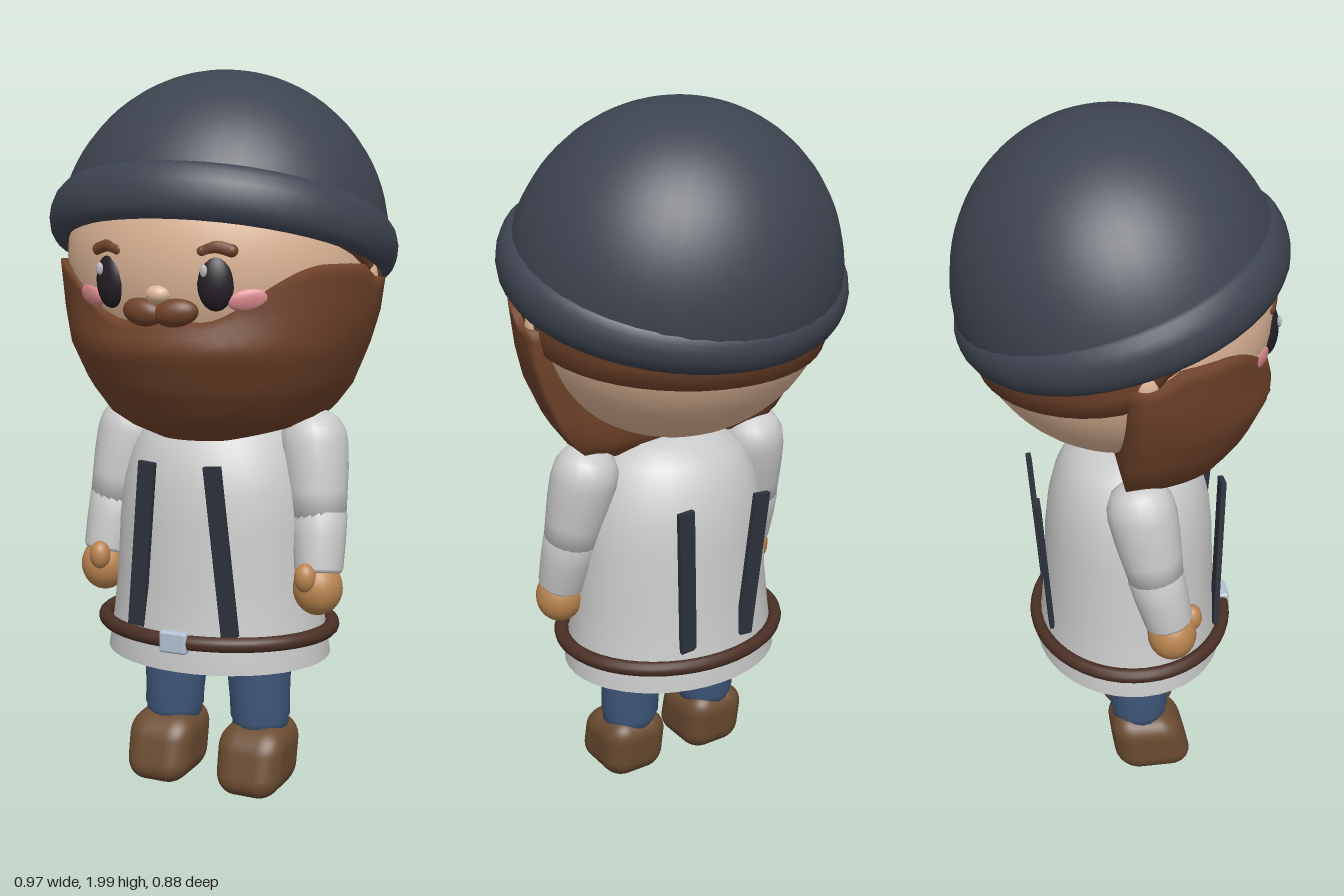
import * as THREE from 'three';
import { mergeVertices } from 'three/addons/utils/BufferGeometryUtils.js';
import { RoundedBoxGeometry } from 'three/addons/geometries/RoundedBoxGeometry.js';

const mat = (color) => new THREE.MeshStandardMaterial({ color, side: THREE.DoubleSide });
const M = {
  grey: mat(0xcccccc), hat: mat(0x3d4350), beard: mat(0x70432a), skin: mat(0xdfb798),
  hand: mat(0xba8550), jeans: mat(0x3f577a), boot: mat(0x6b4c31), belt: mat(0x4b3025),
  strap: mat(0x2d333d), eye: mat(0x241f26), glint: mat(0xb8b8bc), blush: mat(0xdb8a8e), buckle: mat(0xb4c2d2),
};
const V = (x, y, z) => new THREE.Vector3(x, y, z);
const { lerp, smoothstep } = THREE.MathUtils;

function add(parent, name, geo, material, pos = [0, 0, 0], rot = [0, 0, 0], scale = [1, 1, 1]) {
  const m = new THREE.Mesh(geo, material);
  m.name = name;
  m.position.set(...pos);
  m.rotation.set(...rot);
  m.scale.set(...scale);
  parent.add(m);
  return m;
}
const ball = (parent, name, material, pos, scale, rot) =>
  add(parent, name, new THREE.SphereGeometry(1, 24, 16), material, pos, rot, scale);

// Skin over closed rings of n points; point(i, j) runs around, then upwards
function loft(n, rows, point) {
  const pos = [], idx = [];
  for (let j = 0; j < rows; j++) for (let i = 0; i < n; i++) pos.push(...point(i, j));
  for (let j = 0; j < rows - 1; j++) for (let i = 0; i < n; i++) {
    const a = j * n + i, b = j * n + (i + 1) % n;
    idx.push(a, b, a + n, b, b + n, a + n);
  }
  const g = new THREE.BufferGeometry();
  g.setAttribute('position', new THREE.Float32BufferAttribute(pos, 3));
  g.setIndex(idx);
  g.computeVertexNormals();
  return g;
}

// Piecewise linear lookup in rows of [key, ...values]
function sample(table, key) {
  let k = 1;
  while (k < table.length - 1 && table[k][0] < key) k++;
  const a = table[k - 1], b = table[k];
  const t = Math.min(1, Math.max(0, (key - a[0]) / (b[0] - a[0])));
  return a.slice(1).map((v, i) => lerp(v, b[i + 1], t));
}

// Turned limb from a to b, profile of [radius, fraction along]
function limb(parent, name, material, a, b, profile) {
  const len = a.distanceTo(b);
  const geo = new THREE.LatheGeometry(profile.map(([r, t]) => new THREE.Vector2(r, t * len)), 20);
  const m = add(parent, name, geo, material, a.toArray());
  m.quaternion.setFromUnitVectors(V(0, 1, 0), b.clone().sub(a).normalize());
}

function beardGeometry() {
  // height: half width, front z, back z
  const table = [[1.015, 0.13, 0.225, 0.08], [1.04, 0.23, 0.27, 0.01], [1.08, 0.31, 0.312, -0.03], [1.16, 0.37, 0.365, -0.04],
    [1.27, 0.417, 0.414, -0.04], [1.36, 0.445, 0.39, -0.04], [1.49, 0.463, 0.385, -0.04]];
  const front = 48, back = 8, rows = 16;
  return loft(front + back, rows + 2, (i, j) => {
    if (j === 0) return [0, 1.015, 0.16];
    const phi = i <= front ? (i / front - 0.5) * Math.PI : Math.PI / 2;
    const s = Math.abs(Math.sin(phi));
    const top = i > front ? 1.43 : 1.345 + 0.145 * smoothstep(s, 0.25, 0.86) - 0.04 * smoothstep(s, 0.96, 1);
    const t = Math.min(1, (j - 1) / (rows - 1));
    const y = lerp(1.017, top, t);
    const [w, f, b] = sample(table, y);
    const inward = j > rows ? 0.75 : 1;
    if (i > front) return [w * inward * (1 - 2 * (i - front) / back), y, b];
    return [w * inward * Math.sin(phi), y, b + (f - b) * inward * Math.max(0, Math.cos(phi)) ** 0.85];
  });
}

function hairGeometry() {
  const n = 48, rows = 16;
  return loft(n, rows + 1, (i, j) => {
    const a = i / n * Math.PI * 2, c = Math.cos(a);
    const edge = c > 0 ? 1.41 + 0.2 * Math.sqrt(c) : 1.41 - 0.085 * Math.sqrt(-c);
    const th = Math.acos((edge - 1.5) / 0.42) * (1 - Math.max(0, j - 1) / (rows - 1));
    const k = j === 0 ? 0.85 : 1;
    return [0.445 * k * Math.sin(th) * Math.sin(a), 1.5 + 0.42 * Math.cos(th), 0.42 * k * Math.sin(th) * c];
  });
}

function buildHead(g) {
  add(g, 'head', new THREE.SphereGeometry(1, 40, 28), M.skin, [0, 1.5, 0], [0, 0, 0], [0.43, 0.41, 0.41]);
  add(g, 'hair', hairGeometry(), M.beard);
  add(g, 'beard', beardGeometry(), M.beard);
  ball(g, 'nose', M.skin, [0, 1.415, 0.392], [0.035, 0.026, 0.03]);
  for (const s of [1, -1]) {
    ball(g, 'ear', M.skin, [s * 0.425, 1.45, 0.005], [0.024, 0.05, 0.032]);
    ball(g, 'eye', M.eye, [s * 0.148, 1.447, 0.368], [0.048, 0.072, 0.03], [0, s * 0.35, 0]);
    ball(g, 'eyeGlint', M.glint, [s * 0.148 - 0.02, 1.477, 0.396 + s * 0.002], [0.01, 0.016, 0.006]);
    ball(g, 'cheek', M.blush, [s * 0.226, 1.403, 0.331], [0.058, 0.03, 0.014], [0.2, s * 0.58, 0]);
    ball(g, 'moustache', M.beard, [s * 0.046, 1.37, 0.388], [0.06, 0.037, 0.034], [0, s * 0.15, s * 0.12]);
    const brow = new THREE.CatmullRomCurve3([V(0.117, 1.525, 0.379), V(0.15, 1.535, 0.372), V(0.187, 1.526, 0.359)]);
    for (const p of brow.points) p.x *= s;
    add(g, 'eyebrow', new THREE.TubeGeometry(brow, 12, 0.018, 10), M.beard);
    for (const p of [brow.points[0], brow.points[2]]) ball(g, 'eyebrowEnd', M.beard, p.toArray(), [0.018, 0.018, 0.018]);
  }
}

function buildHat(g) {
  const hat = new THREE.Group();
  hat.name = 'knitHat';
  hat.position.set(0, 1.535, 0);
  hat.rotation.x = -0.31;
  g.add(hat);
  add(hat, 'hatDome', new THREE.SphereGeometry(1, 40, 20, 0, Math.PI * 2, 0, Math.PI / 2), M.hat,
    [0, 0, 0], [0, 0, 0], [0.458, 0.467, 0.438]);
  // Rolled brim, taller at the front
  const n = 48, m = 14;
  add(hat, 'hatBrim', loft(n, m + 1, (i, j) => {
    const a = i / n * Math.PI * 2, b = j / m * Math.PI * 2 - Math.PI / 2;
    const r = 0.04 * Math.cos(b), h = 0.068 + 0.008 * Math.cos(a);
    return [(0.445 + r) * Math.sin(a), 0.015 + h * Math.sin(b), 0.005 + (0.415 + r) * Math.cos(a)];
  }), M.hat);
}

function buildBody(g) {
  const profile = [[0, 0.43], [0.25, 0.43], [0.265, 0.392], [0.272, 0.394], [0.258, 0.5], [0.247, 0.62], [0.24, 0.78], [0.229, 0.88],
    [0.209, 0.96], [0.176, 1.03], [0.12, 1.075], [0, 1.095]];
  add(g, 'coat', new THREE.LatheGeometry(profile.map((p) => new THREE.Vector2(...p)), 40), M.grey,
    [0, 0, 0.028], [0, 0, 0], [1.19, 1, 1]);
  add(g, 'belt', new THREE.TorusGeometry(0.33, 0.021, 12, 48), M.belt, [0, 0.478, 0.032], [Math.PI / 2 - 0.02, 0, 0], [1, 0.845, 1]);
  add(g, 'buckle', new RoundedBoxGeometry(0.08, 0.06, 0.03, 3, 0.008), M.buckle, [0, 0.483, 0.315]);
  for (const s of [1, -1]) {
    strap(g, 'frontBrace', V(s * 0.095, 0.96, 0.279), V(s * 0.14, 0.5, 0.262));
    strap(g, 'backBrace', V(s * 0.125, 0.95, -0.244), V(s * 0.095, 0.51, -0.212));
  }
}

// Thin flat brace between two points
function strap(g, name, a, b) {
  const d = a.clone().sub(b), mid = a.clone().add(b).multiplyScalar(0.5);
  const m = add(g, name, new THREE.BoxGeometry(0.048, d.length(), 0.015), M.strap, mid.toArray());
  m.quaternion.setFromUnitVectors(V(0, 1, 0), d.normalize());
}

function buildLimbs(g) {
  for (const s of [1, -1]) {
    const shoulder = V(s * 0.268, 1.088, 0.003), elbow = V(s * 0.313, 0.79, 0.058), wrist = V(s * 0.325, 0.655, 0.092);
    limb(g, 'upperSleeve', M.grey, shoulder, elbow,
      [[0, 0], [0.045, 0.025], [0.073, 0.09], [0.09, 0.2], [0.094, 0.33], [0.09, 0.55], [0.083, 0.75], [0.074, 1], [0, 1.06]]);
    limb(g, 'lowerSleeve', M.grey, elbow.clone().lerp(wrist, -0.35), wrist,
      [[0, 0], [0.06, 0.02], [0.077, 0.15], [0.074, 0.5], [0.067, 0.95], [0.06, 1], [0, 1]]);
    ball(g, 'hand', M.hand, [s * 0.327, 0.617, 0.1], [0.068, 0.075, 0.068]);
    ball(g, 'thumb', M.hand, [s * 0.312, 0.655, 0.157], [0.03, 0.04, 0.029]);

    limb(g, 'trouserLeg', M.jeans, V(s * 0.137, 0.17, 0.042), V(s * 0.125, 0.45, 0.036),
      [[0, 0], [0.08, 0], [0.08, 0.12], [0.085, 0.16], [0.085, 0.3], [0.094, 0.8], [0.096, 1]]);

    // Soft boot block leaning slightly forward to the toe
    const boot = new RoundedBoxGeometry(0.2, 0.196, 0.216, 6, 0.065);
    boot.deleteAttribute('normal');
    boot.deleteAttribute('uv');
    const p = boot.attributes.position;
    for (let i = 0; i < p.count; i++) {
      const t = p.getY(i) / 0.196 + 0.5, z = p.getZ(i);
      p.setX(i, p.getX(i) * lerp(0.95, 1, t));
      p.setZ(i, z * lerp(1.08, 0.97, t) + lerp(0.018, -0.02, t));
      p.setY(i, p.getY(i) - z * 0.06 * t);
    }
    const smooth = mergeVertices(boot, 1e-4);
    smooth.computeVertexNormals();
    add(g, 'boot', smooth, M.boot, [s * 0.14, 0.104, 0.07]);
  }
}

export function createModel() {
  const g = new THREE.Group();
  g.name = 'beardedFigure';
  buildHead(g);
  buildHat(g);
  buildBody(g);
  buildLimbs(g);
  return g;
}
